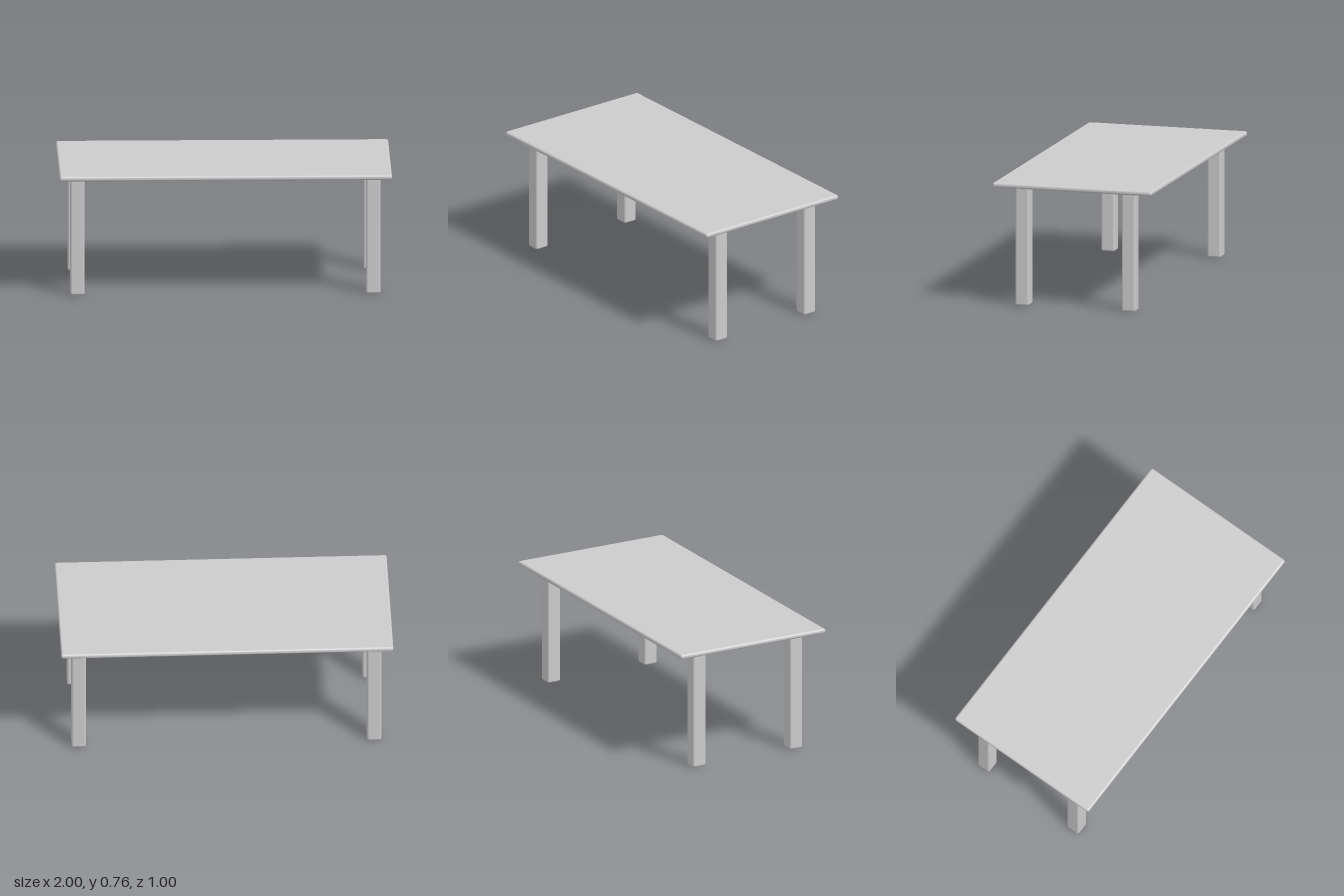
import * as THREE from 'three';
import { RoundedBoxGeometry } from 'three/addons/geometries/RoundedBoxGeometry.js';

const TOP_Y = 0.757, TOP_THICK = 0.03;
const LEG_WIDTH = 0.086, LEG_X = 0.89, LEG_Z = 0.334;

export function createModel() {
  const table = new THREE.Group();
  table.name = 'table';
  const material = new THREE.MeshStandardMaterial({ color: 0xcccccc });

  // Thin slab with softly rounded edges
  const tableTop = new THREE.Mesh(new RoundedBoxGeometry(2, TOP_THICK, 1, 4, 0.013), material);
  tableTop.name = 'tableTop';
  tableTop.position.y = TOP_Y - TOP_THICK / 2;
  table.add(tableTop);

  // Four square legs, their upper ends set into the slab
  const legHeight = TOP_Y - TOP_THICK / 2;
  const legGeometry = new RoundedBoxGeometry(LEG_WIDTH, legHeight, LEG_WIDTH, 4, 0.012);
  for (const [zName, z] of [['front', LEG_Z], ['back', -LEG_Z]]) {
    for (const [xName, x] of [['Left', LEG_X], ['Right', -LEG_X]]) {
      const leg = new THREE.Mesh(legGeometry, material);
      leg.name = `${zName}${xName}Leg`;
      leg.position.set(x, legHeight / 2, z);
      table.add(leg);
    }
  }
  return table;
}
